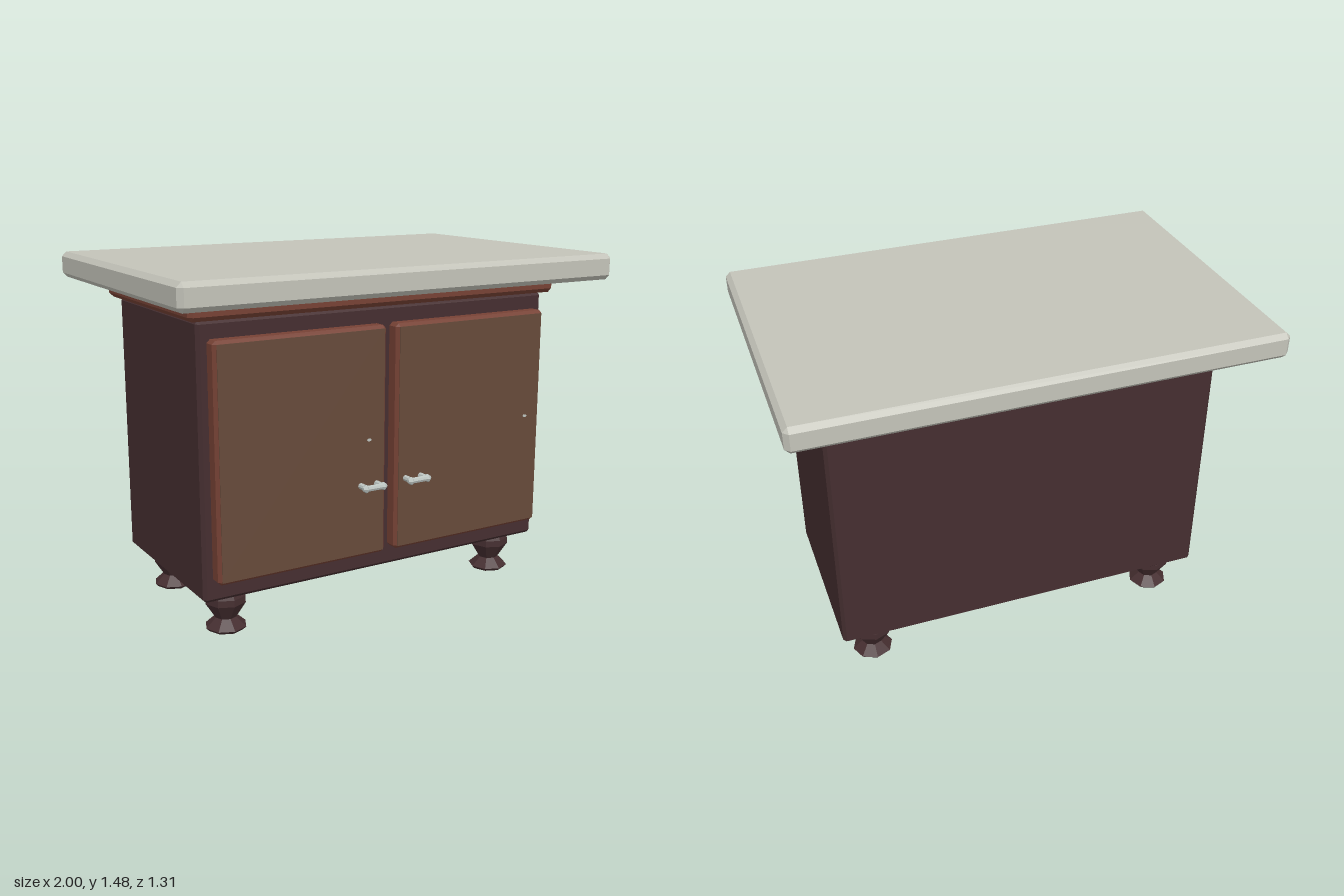
import * as THREE from 'three';
import { ConvexGeometry } from 'three/addons/geometries/ConvexGeometry.js';

const material = (name, color) => {
  const m = new THREE.MeshStandardMaterial({ color, flatShading: true });
  m.name = name;
  return m;
};

// Box with flat chamfers on all edges, given by its limits on each axis
function chamferedBox(x0, x1, y0, y1, z0, z1, c) {
  const h = [(x1 - x0) / 2, (y1 - y0) / 2, (z1 - z0) / 2];
  const points = [];
  for (const sx of [-1, 1]) for (const sy of [-1, 1]) for (const sz of [-1, 1])
    for (let face = 0; face < 3; face++) {
      const [x, y, z] = h.map((v, i) => (i === face ? v : v - c));
      points.push(new THREE.Vector3(sx * x, sy * y, sz * z));
    }
  return new ConvexGeometry(points).translate((x0 + x1) / 2, (y0 + y1) / 2, (z0 + z1) / 2);
}

const lathe = (profile, sides) =>
  new THREE.LatheGeometry(profile.map(([r, y]) => new THREE.Vector2(r, y)), sides);

export function createModel() {
  const model = new THREE.Group();
  model.name = 'cabinet';
  const stone = material('pale stone', 0xc3c3b9);
  const darkWood = material('dark wood', 0x452e30);
  const redWood = material('red wood', 0x774235);
  const brownWood = material('brown wood', 0x664a3a);
  const metal = material('pale metal', 0xbcc4c0);

  const add = (parent, name, geometry, mat) => {
    const mesh = new THREE.Mesh(geometry, mat);
    mesh.name = name;
    parent.add(mesh);
    return mesh;
  };

  // Worktop, trim below it and carcass
  add(model, 'worktop', chamferedBox(-1, 1, 1.37, 1.48, -0.655, 0.655, 0.02), stone);
  add(model, 'trim', chamferedBox(-0.87, 0.87, 1.3, 1.4, -0.435, 0.435, 0.018), redWood);
  add(model, 'body', chamferedBox(-0.828, 0.828, 0.177, 1.3, -0.4, 0.4, 0.014), darkWood);

  // Turned feet
  const footProfile = [[0, 0], [0.076, 0], [0.088, 0.013], [0.045, 0.052],
    [0.088, 0.12], [0.087, 0.148], [0.074, 0.18], [0, 0.18]];
  for (const x of [-0.68, 0.68]) for (const z of [-0.275, 0.275])
    add(model, 'foot', lathe(footProfile, 8), darkWood).position.set(x, 0, z);

  // Doors with front panels, handles and keyholes
  const barProfile = [[0, -0.056], [0.008, -0.056], [0.018, -0.042], [0.013, -0.034],
    [0.013, 0.034], [0.018, 0.042], [0.008, 0.056], [0, 0.056]];
  for (const side of [-1, 1]) {
    const door = new THREE.Group();
    door.name = side < 0 ? 'rightDoor' : 'leftDoor';
    model.add(door);
    const cx = side * 0.407;
    add(door, 'doorFrame', chamferedBox(cx - 0.383, cx + 0.383, 0.265, 1.23, 0.39, 0.464, 0.014), redWood);
    add(door, 'doorPanel', new THREE.BoxGeometry(0.74, 0.939, 0.004), brownWood)
      .position.set(cx, 0.7475, 0.464);

    const handle = new THREE.Group();
    handle.name = 'handle';
    handle.position.set(side * 0.11, 0.575, 0);
    door.add(handle);
    const bar = add(handle, 'handleBar', lathe(barProfile, 8), metal);
    bar.rotation.z = Math.PI / 2;
    bar.position.z = 0.513;
    for (const x of [-0.038, 0.038]) {
      const post = add(handle, 'handlePost', new THREE.CylinderGeometry(0.013, 0.013, 0.05, 8), metal);
      post.rotation.x = Math.PI / 2;
      post.position.set(x, 0, 0.488);
    }

    const keyhole = add(door, 'keyhole', new THREE.CylinderGeometry(0.01, 0.01, 0.003, 8), metal);
    keyhole.rotation.x = Math.PI / 2;
    keyhole.scale.z = 0.65;
    keyhole.position.set(cx + 0.298, 0.765, 0.467);
  }
  return model;
}
